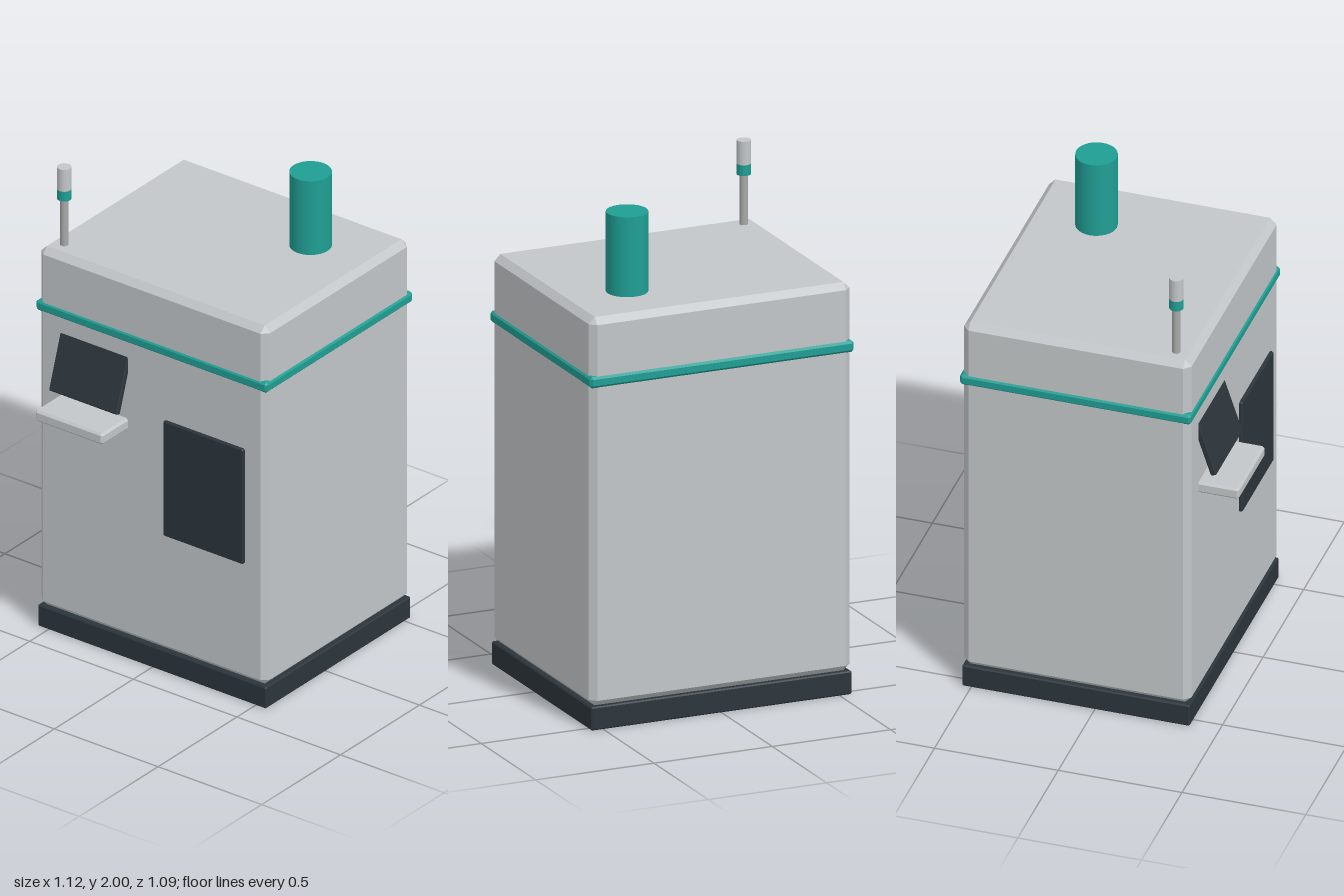
import * as THREE from 'three';
import { ConvexGeometry } from 'three/addons/geometries/ConvexGeometry.js';

const paint = (name, color) => {
  const material = new THREE.MeshStandardMaterial({ color });
  material.name = name;
  return material;
};

// Box with every edge cut flat by c
function chamferBox(w, h, d, c) {
  const points = [];
  for (const x of [-1, 1]) for (const y of [-1, 1]) for (const z of [-1, 1]) {
    const [X, Y, Z] = [w / 2, h / 2, d / 2];
    points.push(
      new THREE.Vector3(x * X, y * (Y - c), z * (Z - c)),
      new THREE.Vector3(x * (X - c), y * Y, z * (Z - c)),
      new THREE.Vector3(x * (X - c), y * (Y - c), z * Z),
    );
  }
  return new ConvexGeometry(points);
}

export function createModel() {
  const model = new THREE.Group();
  model.name = 'kiosk';

  const grey = paint('light grey', 0xc2c6c8);
  const steel = paint('steel grey', 0xa6a9a8);
  const teal = paint('teal', 0x1f9e93);
  const dark = paint('dark slate', 0x2c353c);

  const add = (name, geometry, material, x, y, z) => {
    const mesh = new THREE.Mesh(geometry, material);
    mesh.name = name;
    mesh.position.set(x, y, z);
    model.add(mesh);
    return mesh;
  };
  // Chamfered block between two corners
  const block = (name, material, [x0, x1], [y0, y1], [z0, z1], c) =>
    add(name, chamferBox(x1 - x0, y1 - y0, z1 - z0, c), material,
      (x0 + x1) / 2, (y0 + y1) / 2, (z0 + z1) / 2);
  // Upright cylinder between two heights
  const post = (name, material, r, y0, y1, x, z) =>
    add(name, new THREE.CylinderGeometry(r, r, y1 - y0, 32), material, x, (y0 + y1) / 2, z);

  // Cabinet
  block('base', dark, [-0.551, 0.551], [0, 0.094], [-0.536, 0.383], 0.005);
  block('cabinet', grey, [-0.551, 0.551], [0.092, 1.66], [-0.536, 0.383], 0.026);
  block('trimBand', teal, [-0.558, 0.558], [1.382, 1.428], [-0.545, 0.389], 0.01);

  // Front fittings
  block('frontPanel', dark, [0.063, 0.449], [0.603, 1.106], [0.37, 0.396], 0.005);
  block('shelf', grey, [-0.442, -0.114], [1.003, 1.052], [0.34, 0.546], 0.009);
  const screen = add('screen', chamferBox(0.328, 0.236, 0.025, 0.004), dark, -0.278, 1.207, 0.408);
  screen.rotation.x = -0.32;

  // Roof chimney and signal mast
  post('chimney', teal, 0.082, 1.64, 1.982, 0.275, -0.263);
  post('mast', steel, 0.016, 1.64, 1.87, -0.48, 0.307);
  post('mastCollar', teal, 0.028, 1.862, 1.905, -0.48, 0.307);
  post('mastHead', grey, 0.028, 1.905, 2, -0.48, 0.307);

  return model;
}
